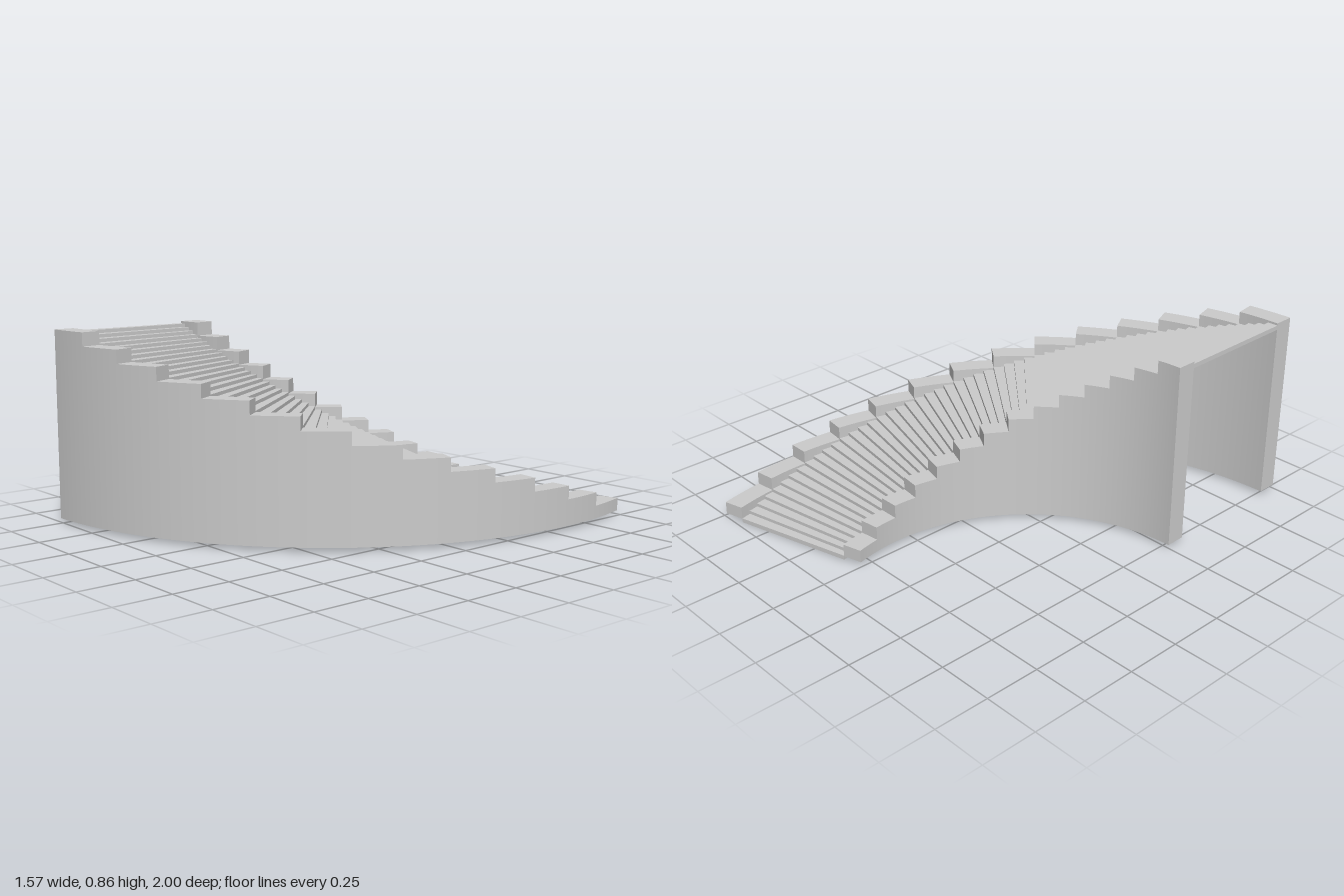
import * as THREE from 'three';

const CX = -0.8, CZ = -0.587;            // centre of the curve
const START = THREE.MathUtils.degToRad(-15), STEP = THREE.MathUtils.degToRad(7.42);
const STEPS = 14, TREADS_PER_STEP = 4;
const R = [0.835, 0.925, 1.495, 1.587];  // inner wall, treads, outer wall radii

const material = new THREE.MeshStandardMaterial({ color: 0xcccccc });

// Closed curved block with a flat base and a top that climbs in equal steps.
function curvedBlock(r0, r1, a, da, steps, base, top, rise, seg) {
  const pos = [], nor = [];
  const quad = (corners, normalAt) => {
    for (const i of [0, 1, 2, 0, 2, 3]) {
      const [r, t, y] = corners[i];
      pos.push(CX + r * Math.cos(t), y, CZ + r * Math.sin(t));
      nor.push(...normalAt(t));
    }
  };
  const out = t => [Math.cos(t), 0, Math.sin(t)];
  const inn = t => [-Math.cos(t), 0, -Math.sin(t)];
  const back = t => [Math.sin(t), 0, -Math.cos(t)];
  const ahead = t => [-Math.sin(t), 0, Math.cos(t)];
  for (let s = 0; s < steps; s++) {
    const y = top + s * rise, low = s ? y - rise : base, t0 = a + s * da;
    // riser
    quad([[r1, t0, low], [r0, t0, low], [r0, t0, y], [r1, t0, y]], back);
    for (let k = 0; k < seg; k++) {
      const p = t0 + da * k / seg, q = t0 + da * (k + 1) / seg;
      quad([[r1, q, base], [r1, p, base], [r1, p, y], [r1, q, y]], out);
      quad([[r0, p, base], [r0, q, base], [r0, q, y], [r0, p, y]], inn);
      quad([[r0, p, y], [r0, q, y], [r1, q, y], [r1, p, y]], () => [0, 1, 0]);
      quad([[r0, p, base], [r1, p, base], [r1, q, base], [r0, q, base]], () => [0, -1, 0]);
    }
  }
  // upper end
  const e = a + steps * da, h = top + (steps - 1) * rise;
  quad([[r0, e, base], [r1, e, base], [r1, e, h], [r0, e, h]], ahead);
  const g = new THREE.BufferGeometry();
  g.setAttribute('position', new THREE.Float32BufferAttribute(pos, 3));
  g.setAttribute('normal', new THREE.Float32BufferAttribute(nor, 3));
  return g;
}

export function createModel() {
  const model = new THREE.Group();
  model.name = 'curvedStaircase';
  const add = (parent, name, geometry) => {
    const mesh = new THREE.Mesh(geometry, material);
    mesh.name = name;
    parent.add(mesh);
  };

  // Stepped side walls
  add(model, 'innerWall', curvedBlock(R[0], R[1], START, STEP, STEPS, 0.018, 0.075, 0.06, 4));
  add(model, 'outerWall', curvedBlock(R[2], R[3], START, STEP, STEPS, 0.018, 0.075, 0.06, 4));

  // Thin wedge treads, open underneath
  const treads = new THREE.Group();
  treads.name = 'treads';
  model.add(treads);
  const da = STEP / TREADS_PER_STEP;
  for (let i = 0; i < STEPS * TREADS_PER_STEP; i++) {
    const y = i * 0.015;
    add(treads, 'tread', curvedBlock(R[1], R[2], START + i * da, da, 1, y, y + 0.02, 0, 1));
  }
  return model;
}
